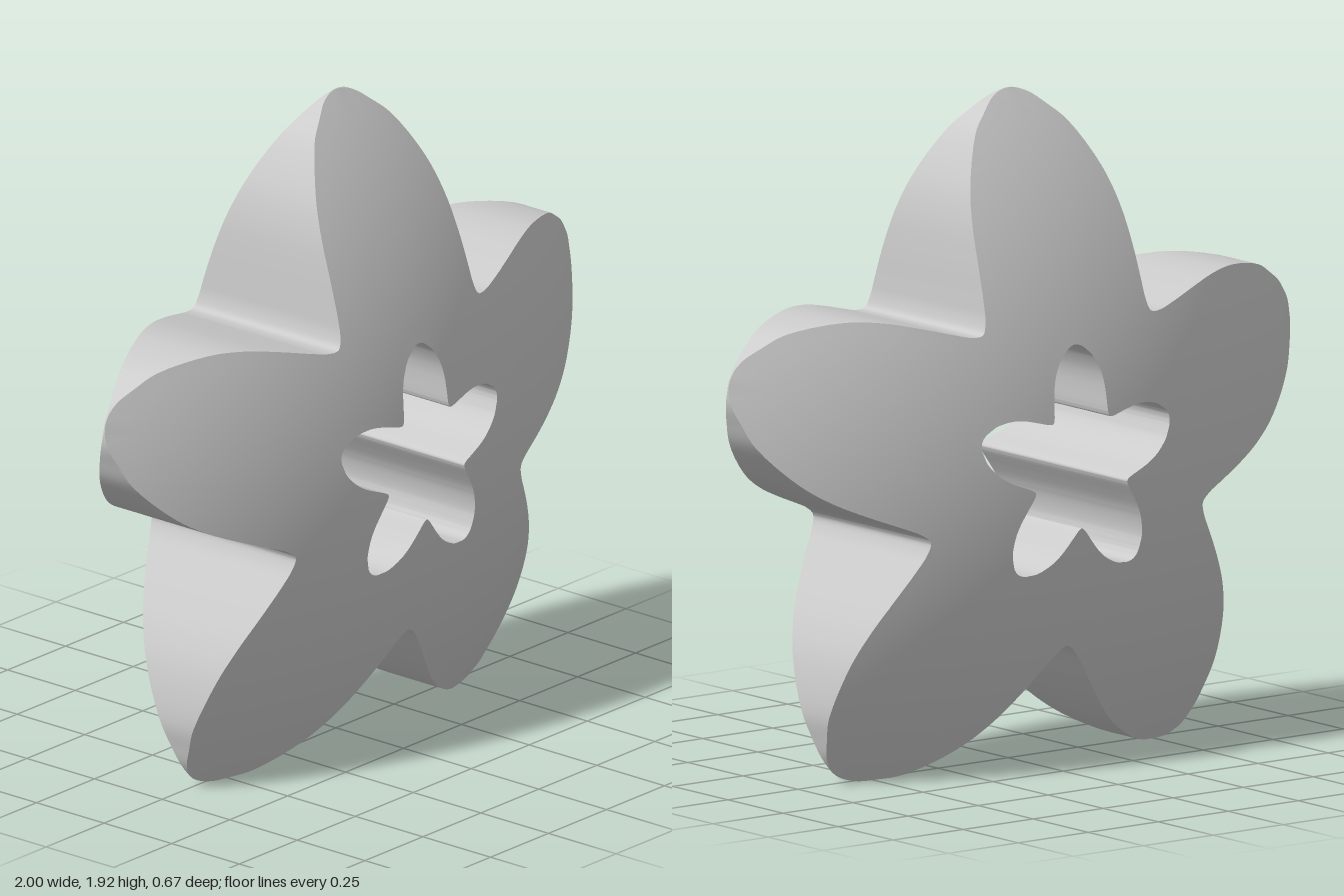
import * as THREE from 'three';
import { toCreasedNormals } from 'three/addons/utils/BufferGeometryUtils.js';

const CENTRE_Y = 0.868;
const TIP = 1.047;       // centre to arm tip
const BULGE = 0.343;     // half thickness at the centre
const HOLE_SCALE = 0.335;
const HOLE_SHIFT = 0.007;
const RINGS = 14;

// Half of one arm, from the valley to just before the tip
const halfArm = [
  [0.300, 0.413], [0.286, 0.447], [0.281, 0.50], [0.275, 0.60], [0.263, 0.71],
  [0.235, 0.813], [0.165, 0.942], [0.112, 0.992], [0.06, 1.031],
];

// Rounded five-armed outline, counter-clockwise
function starOutline() {
  const arm = [
    ...halfArm,
    [0, TIP],
    ...halfArm.slice(1).reverse().map(([x, y]) => [-x, y]),
  ];
  const points = [];
  for (let a = 0; a < 5; a++) {
    for (const [x, y] of arm) {
      points.push(new THREE.Vector3(x, y, 0)
        .applyAxisAngle(new THREE.Vector3(0, 0, 1), a * Math.PI * 2 / 5));
    }
  }
  const curve = new THREE.CatmullRomCurve3(points, true, 'centripetal');
  const outline = curve.getPoints(points.length * 4);
  outline.pop();
  return outline;
}

// Half thickness of the lens made by two spherical caps
function lens(x, y) {
  const radius = (TIP * TIP + BULGE * BULGE) / (2 * BULGE);
  const z = Math.sqrt(radius * radius - x * x - y * y) - (radius - BULGE);
  return Math.max(z, 0.002);
}

// Each cross-section runs out along the front, then back in along the rear
function starGeometry() {
  const outline = starOutline();
  const n = outline.length;
  const m = 2 * (RINGS + 1);
  const positions = [];
  const index = [];
  outline.forEach((p, i) => {
    const hole = new THREE.Vector3(p.x * HOLE_SCALE, p.y * HOLE_SCALE + HOLE_SHIFT, 0);
    for (let j = 0; j < m; j++) {
      const front = j <= RINGS;
      const t = (front ? j : m - 1 - j) / RINGS;
      const q = hole.clone().lerp(p, t);
      positions.push(q.x, q.y, lens(q.x, q.y) * (front ? 1 : -1));
      const i2 = (i + 1) % n;
      const j2 = (j + 1) % m;
      const a = i * m + j, b = i * m + j2, c = i2 * m + j2, d = i2 * m + j;
      index.push(a, b, c, a, c, d);
    }
  });
  const geometry = new THREE.BufferGeometry();
  geometry.setAttribute('position', new THREE.Float32BufferAttribute(positions, 3));
  geometry.setIndex(index);
  return toCreasedNormals(geometry, 0.6);
}

export function createModel() {
  const group = new THREE.Group();
  group.name = 'starPendant';
  const star = new THREE.Mesh(
    starGeometry(),
    new THREE.MeshStandardMaterial({ color: 0xcccccc }),
  );
  star.name = 'starBody';
  star.position.y = CENTRE_Y;
  group.add(star);
  return group;
}
